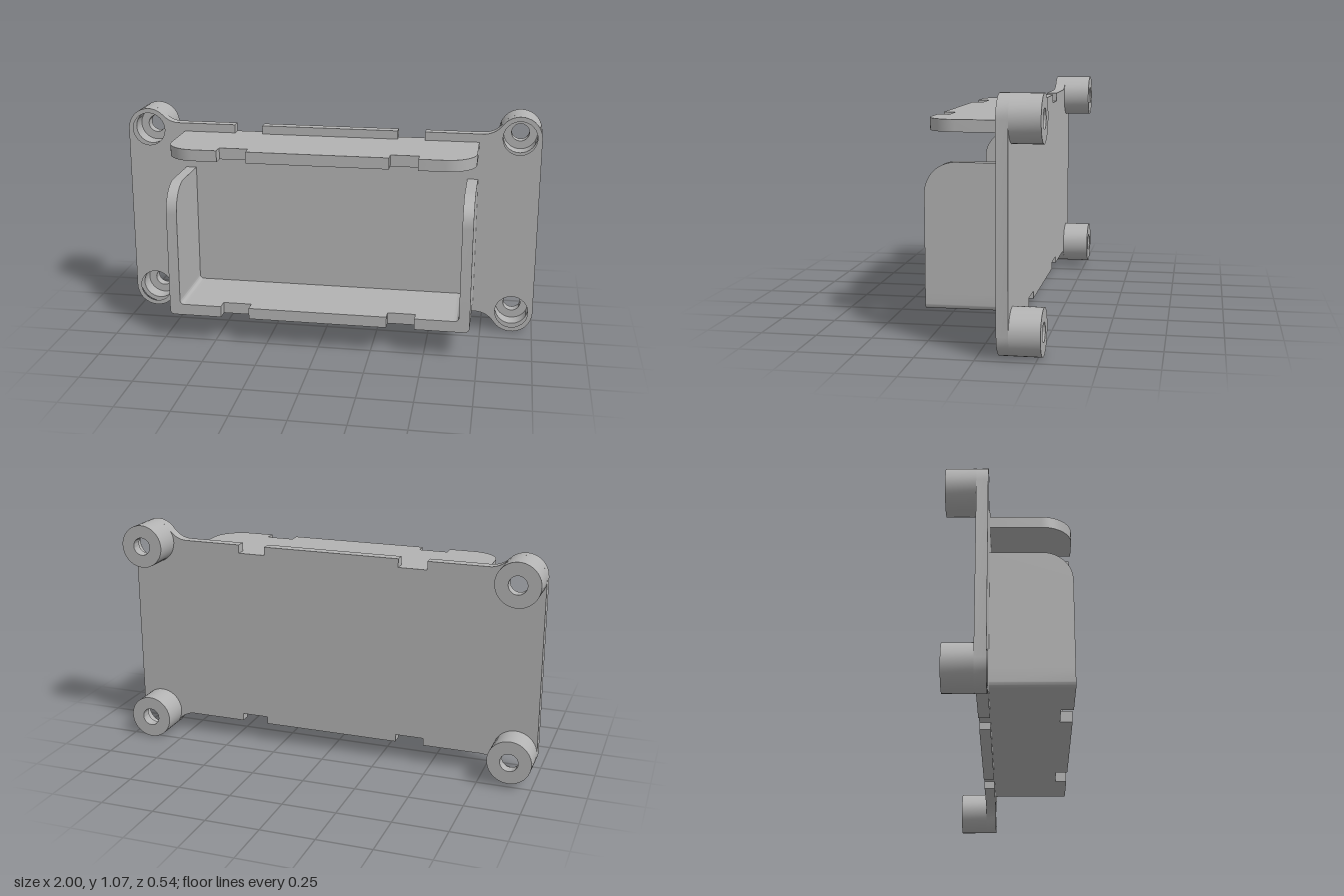
import * as THREE from 'three';
import { toCreasedNormals } from 'three/addons/utils/BufferGeometryUtils.js';

const FRONT = 0.27, PLATE_FRONT = -0.09, PLATE_BACK = -0.14, BOSS_BACK = -0.27;
const TOP = 0.985, BOTTOM = 0.095;
const LEFT = -0.715, RIGHT = 0.71;                    // tray extent in x
const NOTCHES = [[-0.465, -0.33], [0.325, 0.455]];
const BOSS_R = 0.102, BORE_R = 0.08, HOLE_R = 0.042;
const ROUND = 0.135;

// One boss per plate corner; sx, sy point from the boss towards the plate side / outward edge
const BOSSES = [
  { x: -0.898, y: 0.948, sx: 1, sy: 1, edge: TOP },
  { x: 0.898, y: 0.97, sx: -1, sy: 1, edge: TOP },
  { x: 0.898, y: 0.102, sx: -1, sy: -1, edge: BOTTOM },
  { x: -0.898, y: 0.127, sx: 1, sy: -1, edge: BOTTOM },
];

export function createModel() {
  const group = new THREE.Group();
  const grey = new THREE.MeshStandardMaterial({ color: 0xb3b3b3 });
  grey.name = 'grey plastic';

  const add = (name, geometry) => {
    const mesh = new THREE.Mesh(toCreasedNormals(geometry, 0.6), grey);
    mesh.name = name;
    group.add(mesh);
    return mesh;
  };
  const extrude = (shape, from, to) =>
    new THREE.ExtrudeGeometry(shape, { depth: to - from, bevelEnabled: false, curveSegments: 16 })
      .translate(0, 0, from);
  const arc = (cx, cy, r, a0, a1, n = 14) =>
    Array.from({ length: n + 1 }, (_, i) => {
      const a = a0 + (a1 - a0) * i / n;
      return new THREE.Vector2(cx + r * Math.cos(a), cy + r * Math.sin(a));
    });
  const pt = (x, y) => new THREE.Vector2(x, y);
  // Notch corners, left to right, along an edge
  const notched = (edge, inner) => NOTCHES.flatMap(([a, b]) =>
    [pt(a, edge), pt(a, inner), pt(b, inner), pt(b, edge)]);

  // Plate corner: round boss ear blending with a concave fillet into the long edge
  const ear = ({ x, y, sx, sy, edge }) => {
    const d = Math.abs(edge - y), r = 0.11;
    const fy = d + r, fx = Math.sqrt((BOSS_R + r) ** 2 - fy ** 2);
    const a = Math.atan2(fy, fx);
    return [...arc(0, 0, BOSS_R, Math.PI, a), ...arc(fx, fy, r, a + Math.PI, 1.5 * Math.PI).slice(1)]
      .map(p => pt(x + sx * p.x, y + sy * p.y));
  };

  // Back plate with edge notches and bores
  const [tl, tr, br, bl] = BOSSES.map(ear);
  const plate = new THREE.Shape([
    ...tl, ...notched(TOP, 0.945), ...tr.reverse(),
    ...br, ...notched(BOTTOM, 0.13).reverse(), ...bl.reverse(),
  ]);
  for (const { x, y } of BOSSES)
    plate.holes.push(new THREE.Path().absarc(x, y, BORE_R, 0, Math.PI * 2, true));
  add('backPlate', extrude(plate, PLATE_BACK, PLATE_FRONT));

  // Counterbored mounting bosses behind the plate
  const profile = [[HOLE_R, -0.22], [HOLE_R, BOSS_BACK], [BOSS_R, BOSS_BACK],
    [BOSS_R, PLATE_BACK], [BORE_R, PLATE_BACK], [BORE_R, -0.22], [HOLE_R, -0.22]]
    .map(([r, z]) => pt(r, z));
  for (const { x, y } of BOSSES)
    add('mountingBoss', new THREE.LatheGeometry(profile, 40).rotateX(Math.PI / 2)).position.set(x, y, 0);

  // Upper shelf with rounded front corners (drawn in x, -z)
  const shelf = new THREE.Shape([
    pt(LEFT, -PLATE_FRONT),
    ...arc(LEFT + ROUND, -FRONT + ROUND, ROUND, Math.PI, 1.5 * Math.PI),
    ...notched(-FRONT, -0.215),
    ...arc(RIGHT - ROUND, -FRONT + ROUND, ROUND, -Math.PI / 2, 0),
    pt(RIGHT, -PLATE_FRONT),
  ]);
  add('upperShelf', extrude(shelf, 0.892, 0.945).rotateX(-Math.PI / 2));

  // Tray floor between its corner pieces
  const floor = new THREE.Shape([
    pt(LEFT + 0.08, -PLATE_FRONT), pt(LEFT + 0.08, -FRONT),
    ...notched(-FRONT, -0.215),
    pt(RIGHT - 0.08, -FRONT), pt(RIGHT - 0.08, -PLATE_FRONT),
  ]);
  add('trayFloor', extrude(floor, 0.13, 0.183).rotateX(-Math.PI / 2));

  // Side walls (drawn in -z, y) and rounded lower corners (drawn in x, y)
  const wall = new THREE.Shape([
    pt(-FRONT, 0.21), pt(-PLATE_FRONT, 0.21), pt(-PLATE_FRONT, 0.765),
    ...arc(-FRONT + ROUND, 0.765 - ROUND, ROUND, Math.PI / 2, Math.PI),
  ]);
  for (const [side, edge, s] of [['right', LEFT, 1], ['left', RIGHT, -1]]) {
    const inner = edge + s * 0.05;
    add(side + 'Wall', extrude(wall, Math.min(edge, inner), Math.max(edge, inner)).rotateY(Math.PI / 2));
    const corner = new THREE.Shape([
      pt(0, 0.21), ...arc(0.022, 0.152, 0.022, Math.PI, 1.5 * Math.PI, 6),
      pt(0.08, 0.13), pt(0.08, 0.183),
      ...arc(0.068, 0.201, 0.018, 1.5 * Math.PI, Math.PI, 6), pt(0.05, 0.21),
    ].map(p => pt(edge + s * p.x, p.y)));
    add(side + 'LowerCorner', extrude(corner, PLATE_FRONT, FRONT));
  }
  return group;
}
